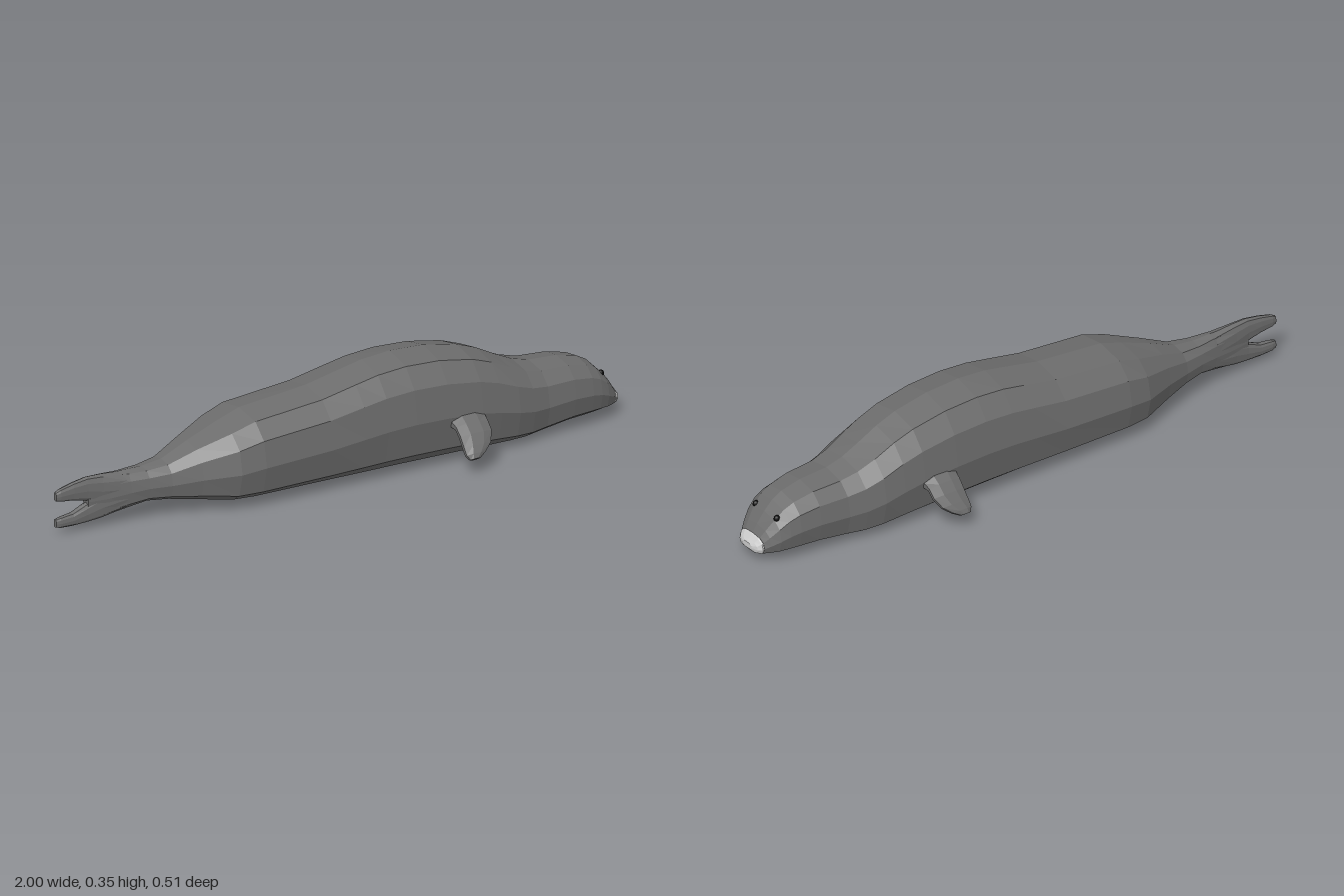
import * as THREE from 'three';

// Half outline of a body slice, top to bottom: [height fraction, width fraction]
const HALF = [[1, 0], [0.94, 0.59], [0.76, 0.9], [0.45, 1], [0.14, 0.88], [0.03, 0.59], [0, 0]];
const SECTION = [...HALF, ...HALF.slice(1, -1).reverse().map(([h, w]) => [h, -w])];

// Skin a list of rings (counter-clockwise about the path) and cap both ends
function loft(rings) {
  const n = rings[0].length;
  const pos = rings.flat(2);
  const index = [];
  for (let j = 0; j < rings.length - 1; j++) {
    for (let i = 0; i < n; i++) {
      const a = j * n + i, b = j * n + (i + 1) % n;
      index.push(a, b, b + n, a, b + n, a + n);
    }
  }
  const last = (rings.length - 1) * n;
  for (let i = 1; i < n - 1; i++) {
    index.push(0, i + 1, i, last, last + i, last + i + 1);
  }
  const geo = new THREE.BufferGeometry();
  geo.setAttribute('position', new THREE.Float32BufferAttribute(pos, 3));
  geo.setIndex(index);
  geo.computeVertexNormals();
  return geo;
}

// Slices along x: [x, top, bottom, half width]
const sliceLoft = (stations) => loft(stations.map(([x, top, bottom, w]) =>
  SECTION.map(([h, s]) => [x, bottom + (top - bottom) * h, s * w])));

export function createModel() {
  const model = new THREE.Group();
  const skin = new THREE.MeshStandardMaterial({ color: 0x6c6c6c, flatShading: true });
  const pale = new THREE.MeshStandardMaterial({ color: 0xcccccc, flatShading: true });
  const black = new THREE.MeshStandardMaterial({ color: 0x080808 });
  const add = (name, geo, mat) => {
    const mesh = new THREE.Mesh(geo, mat);
    mesh.name = name;
    model.add(mesh);
    return mesh;
  };

  // Body, from tail root to muzzle
  add('body', sliceLoft([
    [-0.89, 0.15, 0.04, 0.015], [-0.82, 0.163, 0.032, 0.027], [-0.75, 0.164, 0.045, 0.04],
    [-0.69, 0.163, 0.056, 0.053], [-0.62, 0.172, 0.05, 0.07], [-0.53, 0.212, 0.035, 0.103],
    [-0.42, 0.255, 0.017, 0.15], [-0.34, 0.282, 0.014, 0.162], [-0.1, 0.305, 0.012, 0.162],
    [0.02, 0.33, 0.01, 0.162], [0.1, 0.346, 0.009, 0.162], [0.2, 0.354, 0.008, 0.162],
    [0.32, 0.348, 0.006, 0.161], [0.44, 0.325, 0.004, 0.158], [0.51, 0.299, 0.002, 0.154],
    [0.58, 0.263, 0.001, 0.15], [0.64, 0.235, 0, 0.138], [0.7, 0.219, 0.006, 0.125],
    [0.8, 0.213, 0.018, 0.116], [0.87, 0.197, 0.021, 0.107], [0.905, 0.178, 0.023, 0.1],
    [0.935, 0.148, 0.025, 0.09], [0.962, 0.113, 0.028, 0.074], [0.978, 0.088, 0.03, 0.061],
  ]), skin);

  // Pale snout
  add('snout', sliceLoft([
    [0.972, 0.09, 0.03, 0.061], [0.982, 0.084, 0.03, 0.059],
    [0.993, 0.07, 0.034, 0.047], [1, 0.062, 0.042, 0.025],
  ]), pale);

  // Hind flippers, pressed together as an upper and a lower lobe
  add('upperHindFlipper', sliceLoft([
    [-1, 0.14, 0.112, 0.008], [-0.985, 0.148, 0.108, 0.012], [-0.94, 0.16, 0.103, 0.015],
    [-0.89, 0.169, 0.092, 0.018], [-0.84, 0.168, 0.075, 0.024], [-0.76, 0.162, 0.07, 0.036],
  ]), skin);
  add('lowerHindFlipper', sliceLoft([
    [-1, 0.052, 0.026, 0.008], [-0.985, 0.056, 0.022, 0.012], [-0.94, 0.062, 0.021, 0.015],
    [-0.89, 0.085, 0.023, 0.018], [-0.84, 0.11, 0.028, 0.024], [-0.76, 0.12, 0.046, 0.036],
  ]), skin);

  // Front flippers: [z, y, centre x, half chord, half thickness, downward slope]
  const flipper = loft([
    [0.13, 0.135, 0.385, 0.062, 0.03, 0.1], [0.158, 0.137, 0.385, 0.06, 0.024, 0.2],
    [0.178, 0.13, 0.385, 0.057, 0.015, 0.55], [0.2, 0.108, 0.385, 0.056, 0.015, 0.9],
    [0.222, 0.08, 0.376, 0.048, 0.015, 0.95], [0.238, 0.06, 0.362, 0.034, 0.014, 0.95],
    [0.248, 0.048, 0.354, 0.017, 0.01, 0.95],
  ].map(([z, y, x, chord, thick, slope]) => Array.from({ length: 8 }, (_, i) => {
    const a = (i + 0.5) * Math.PI / 4;
    const u = Math.cos(a) * chord * 1.08, v = Math.sin(a) * thick;
    return [x + u, y + v * Math.cos(slope), z + v * Math.sin(slope)];
  })));

  // Paired parts
  for (const side of [1, -1]) {
    const label = side > 0 ? 'near' : 'far';
    add(label + 'FrontFlipper', flipper, skin).scale.z = side;
    const eye = add(label + 'Eye', new THREE.SphereGeometry(0.011, 12, 8), black);
    eye.position.set(0.926, 0.145, side * 0.054);
    eye.scale.set(1, 1, 0.85);
  }
  return model;
}
